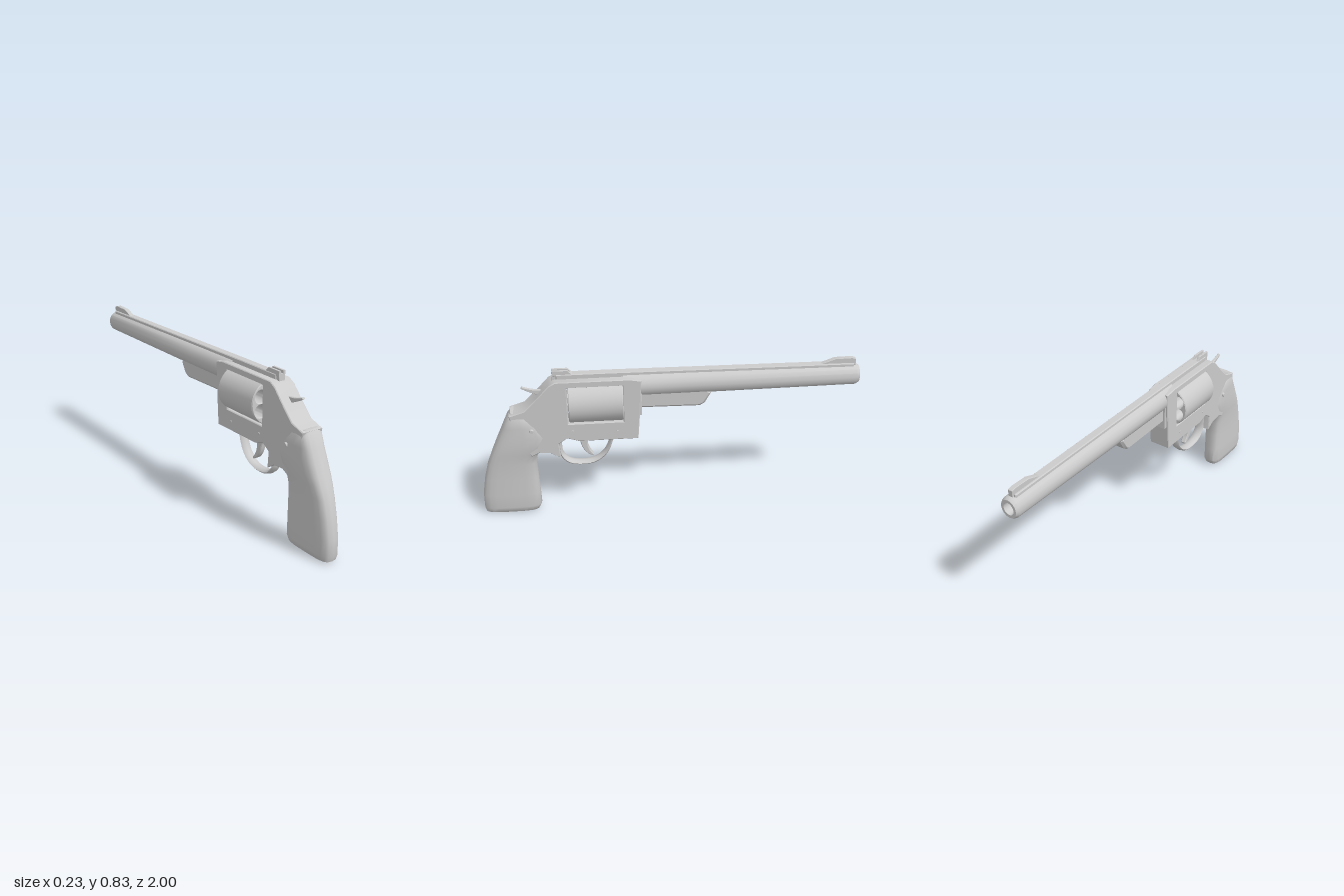
import * as THREE from 'three';
import { toCreasedNormals } from 'three/addons/utils/BufferGeometryUtils.js';

const material = new THREE.MeshStandardMaterial({ color: 0xcccccc, side: THREE.DoubleSide });
const v2 = (pts) => pts.map(([a, b]) => new THREE.Vector2(a, b));

export function createModel() {
  const model = new THREE.Group();

  function add(name, geometry, x = 0, y = 0, z = 0, crease = 0.6) {
    const mesh = new THREE.Mesh(toCreasedNormals(geometry, crease), material);
    mesh.name = name;
    mesh.position.set(x, y, z);
    model.add(mesh);
    return mesh;
  }

  // Side profile in (z, y), extruded symmetrically across x
  function slab(name, shape, width, bevel = 0.004) {
    const depth = width - 2 * bevel;
    const g = new THREE.ExtrudeGeometry(shape, {
      depth, curveSegments: 8, bevelEnabled: bevel > 0,
      bevelThickness: bevel, bevelSize: bevel, bevelOffset: -bevel, bevelSegments: 1,
    });
    g.translate(0, 0, -depth / 2).rotateY(-Math.PI / 2);
    return add(name, g);
  }
  const poly = (pts) => new THREE.Shape(v2(pts));

  // Frame with the cylinder window
  const frame = poly([
    [0.14, 0.775], [0.15, 0.58], [0.16, 0.44], [0.47, 0.44], [0.53, 0.46], [0.575, 0.43],
    [0.57, 0.345], [0.62, 0.375], [0.68, 0.38], [0.72, 0.36], [0.80, 0.50], [0.82, 0.605],
    [0.74, 0.63], [0.67, 0.70], [0.61, 0.765], [0.575, 0.785], [0.20, 0.785],
  ]);
  frame.holes.push(new THREE.Path(v2([[0.235, 0.545], [0.235, 0.75], [0.52, 0.75], [0.52, 0.545]])));
  slab('frame', frame, 0.12);

  // Cylinder with six open chambers
  const drum = new THREE.Shape().absarc(0, 0, 0.116, 0, Math.PI * 2);
  for (let i = 0; i < 6; i++) {
    const a = Math.PI / 6 + (i * Math.PI) / 3;
    drum.holes.push(new THREE.Path().absarc(0.073 * Math.cos(a), 0.073 * Math.sin(a), 0.033, 0, Math.PI * 2, true));
  }
  const drumGeometry = new THREE.ExtrudeGeometry(drum, {
    depth: 0.27, curveSegments: 14, bevelThickness: 0.005, bevelSize: 0.004, bevelOffset: -0.004, bevelSegments: 1,
  });
  add('cylinder', drumGeometry, 0, 0.655, 0.24);

  // Barrel with a bored muzzle
  const barrel = new THREE.LatheGeometry(v2([
    [0.059, -0.23], [0.058, 0.1], [0.052, 0.985], [0.044, 1], [0.03, 1], [0.028, 0.8], [0, 0.8],
  ]), 16);
  barrel.rotateX(-Math.PI / 2).scale(1, 1.08, 1);
  add('barrel', barrel, 0, 0.733, 0);

  slab('barrelRib', poly([[0.57, 0.77], [0.57, 0.81], [0.30, 0.81], [-0.97, 0.80], [-0.97, 0.765]]), 0.044);
  slab('ejectorShroud', poly([[0.16, 0.70], [0.16, 0.605], [-0.165, 0.60], [-0.19, 0.615], [-0.225, 0.675], [-0.20, 0.70]]), 0.07, 0.012);
  slab('crane', poly([[0.17, 0.70], [0.17, 0.57], [0.138, 0.57], [0.138, 0.70]]), 0.1);

  // Sights
  slab('frontSight', poly([[-0.77, 0.79], [-0.98, 0.79], [-0.98, 0.822], [-0.96, 0.829], [-0.87, 0.827]]), 0.026, 0.002);
  slab('rearSightBase', poly([[0.59, 0.78], [0.59, 0.815], [0.49, 0.812], [0.47, 0.80], [0.47, 0.78]]), 0.036, 0.002);
  for (const side of [-1, 1]) {
    slab('rearSightLeaf', poly([[0.59, 0.80], [0.59, 0.83], [0.51, 0.83], [0.48, 0.80]]), 0.012, 0.001).position.x = side * 0.013;
  }

  // Hammer and trigger
  const hammer = new THREE.Shape();
  hammer.moveTo(0.60, 0.68);
  hammer.lineTo(0.66, 0.695);
  hammer.quadraticCurveTo(0.70, 0.705, 0.75, 0.735);
  hammer.lineTo(0.745, 0.743);
  hammer.quadraticCurveTo(0.69, 0.72, 0.64, 0.722);
  hammer.lineTo(0.60, 0.74);
  slab('hammer', hammer, 0.016, 0.002);

  const trigger = new THREE.Shape();
  trigger.moveTo(0.50, 0.46);
  trigger.quadraticCurveTo(0.47, 0.44, 0.465, 0.415);
  trigger.quadraticCurveTo(0.455, 0.345, 0.40, 0.32);
  trigger.lineTo(0.395, 0.33);
  trigger.quadraticCurveTo(0.43, 0.37, 0.425, 0.41);
  trigger.lineTo(0.41, 0.46);
  slab('trigger', trigger, 0.03, 0.004);

  // Trigger guard: a flattened tube bowed below the frame
  const guardPath = new THREE.CatmullRomCurve3([
    [0.295, 0.46], [0.303, 0.405], [0.335, 0.335], [0.39, 0.292], [0.46, 0.281],
    [0.525, 0.294], [0.563, 0.335], [0.572, 0.39], [0.565, 0.45],
  ].map(([z, y]) => new THREE.Vector3(0, y, z)));
  const guard = new THREE.TubeGeometry(guardPath, 32, 0.011, 8);
  add('triggerGuard', guard.scale(2.4, 1, 1), 0, 0, 0, 1);

  // Grip lofted from rounded sections: y, front z, back z, half width
  const sections = [
    [0.004, 0.725, 0.975, 0.035], [0.012, 0.705, 0.992, 0.046], [0.04, 0.69, 1.0, 0.051],
    [0.12, 0.692, 0.998, 0.052], [0.22, 0.695, 0.98, 0.053], [0.31, 0.698, 0.956, 0.055],
    [0.37, 0.685, 0.932, 0.061], [0.41, 0.64, 0.915, 0.065], [0.47, 0.615, 0.888, 0.066],
    [0.53, 0.655, 0.86, 0.064], [0.585, 0.715, 0.834, 0.062], [0.612, 0.745, 0.815, 0.046],
  ];
  const sides = 20;
  const positions = [];
  const index = [];
  const round = (c) => Math.sign(c) * Math.abs(c) ** 0.55;
  sections.forEach(([y, front, back, half], row) => {
    for (let i = 0; i < sides; i++) {
      const a = (i / sides) * Math.PI * 2;
      positions.push(half * round(Math.sin(a)), y, (front + back) / 2 + ((back - front) / 2) * round(Math.cos(a)));
      if (row === 0) continue;
      const j = (i + 1) % sides;
      const [p, q] = [(row - 1) * sides, row * sides];
      index.push(p + i, p + j, q + j, p + i, q + j, q + i);
    }
  });
  // Close the butt and the top
  const last = (sections.length - 1) * sides;
  for (let i = 1; i < sides - 1; i++) {
    index.push(0, i + 1, i, last, last + i, last + i + 1);
  }
  const grip = new THREE.BufferGeometry();
  grip.setAttribute('position', new THREE.Float32BufferAttribute(positions, 3));
  grip.setIndex(index);
  add('grip', grip, 0, 0, 0, 0.8);

  // Screws and pins on both flanks
  for (const side of [-1, 1]) {
    for (const [y, z, r] of [[0.515, 0.71, 0.013], [0.50, 0.50, 0.009], [0.49, 0.27, 0.009]]) {
      const screw = new THREE.CylinderGeometry(r * 0.7, r, 0.012, 10).rotateZ(-side * Math.PI / 2);
      add('screw', screw, side * (z > 0.6 ? 0.066 : 0.057), y, z);
    }
  }
  return model;
}
